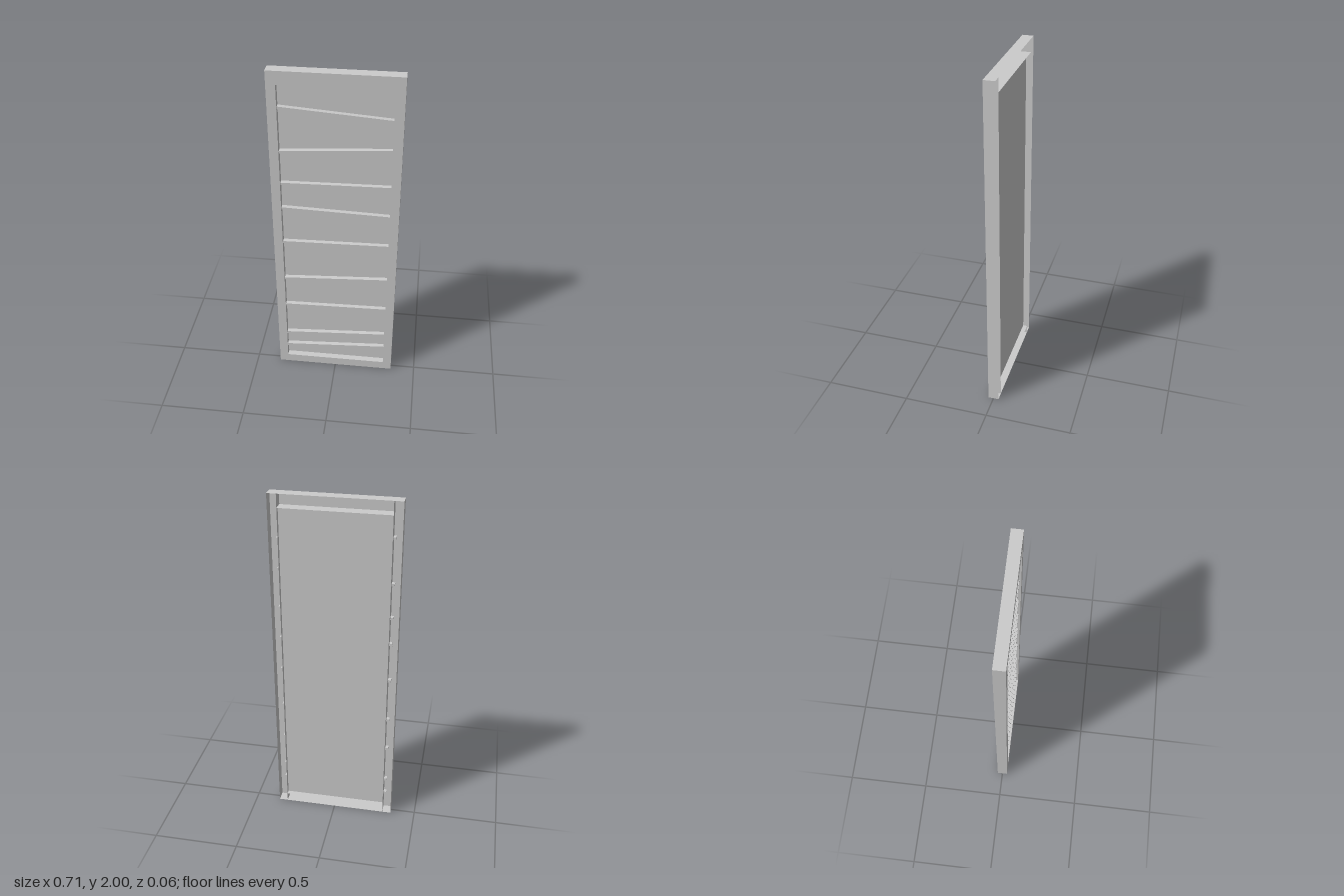
import * as THREE from 'three';

const W = 0.354, IN = 0.303;              // outer and inner half widths
const H = 2, BOTTOM = 0.053, TOP = 1.925; // height and opening
const D = 0.031;                          // half depth
const PANEL_Z = -0.005, SLAT_Z = 0.02;    // panel plane and slat fronts

export function createModel() {
  const door = new THREE.Group();
  door.name = 'door';
  const sheet = new THREE.MeshStandardMaterial({ color: 0xcccccc, flatShading: true, side: THREE.DoubleSide });

  // flat sheet turned about x and y, then placed
  const plate = (name, w, h, pos, rx = 0, ry = 0) => {
    const mesh = new THREE.Mesh(new THREE.PlaneGeometry(w, h), sheet);
    mesh.name = name;
    mesh.rotation.set(rx, ry, 0);
    mesh.position.set(...pos);
    door.add(mesh);
  };

  // stiles: full-height channels, open at the back
  for (const [side, s] of [['left', 1], ['right', -1]]) {
    plate(side + 'StileFace', W - IN, H, [s * (W + IN) / 2, H / 2, D]);
    plate(side + 'StileOuterWall', 2 * D, H, [s * W, H / 2, 0], 0, s * Math.PI / 2);
    plate(side + 'StileInnerWall', 2 * D, H, [s * IN, H / 2, 0], 0, -s * Math.PI / 2);
  }

  // rails: face, outer edge across the whole width, inner edge between the stiles
  for (const [name, outer, inner] of [['topRail', H, TOP], ['bottomRail', 0, BOTTOM]]) {
    const turn = outer > inner ? -Math.PI / 2 : Math.PI / 2;
    plate(name + 'Face', 2 * IN, Math.abs(outer - inner), [0, (outer + inner) / 2, D]);
    plate(name + 'OuterEdge', 2 * W, 2 * D, [0, outer, 0], turn);
    plate(name + 'InnerEdge', 2 * IN, 2 * D, [0, inner, 0], -turn);
  }

  // recessed panel
  plate('panel', 2 * IN, TOP - BOTTOM, [0, (TOP + BOTTOM) / 2, PANEL_Z]);

  // tilted slats: heights at the -x and +x sides of the opening
  const slats = [
    [1.792, 1.747], [1.532, 1.572], [1.333, 1.344], [1.172, 1.153], [0.938, 0.95],
    [0.67, 0.704], [0.465, 0.477], [0.235, 0.272], [0.132, 0.169],
  ];
  slats.forEach(([y0, y1], i) => {
    const depth = SLAT_Z - PANEL_Z;
    const slat = new THREE.Mesh(new THREE.BoxGeometry(0.64, 0.015, depth), sheet);
    slat.name = 'slat' + (i + 1);
    slat.position.set(0, (y0 + y1) / 2, PANEL_Z + depth / 2);
    slat.rotation.z = Math.atan2(y1 - y0, 2 * IN);
    door.add(slat);
  });

  return door;
}
